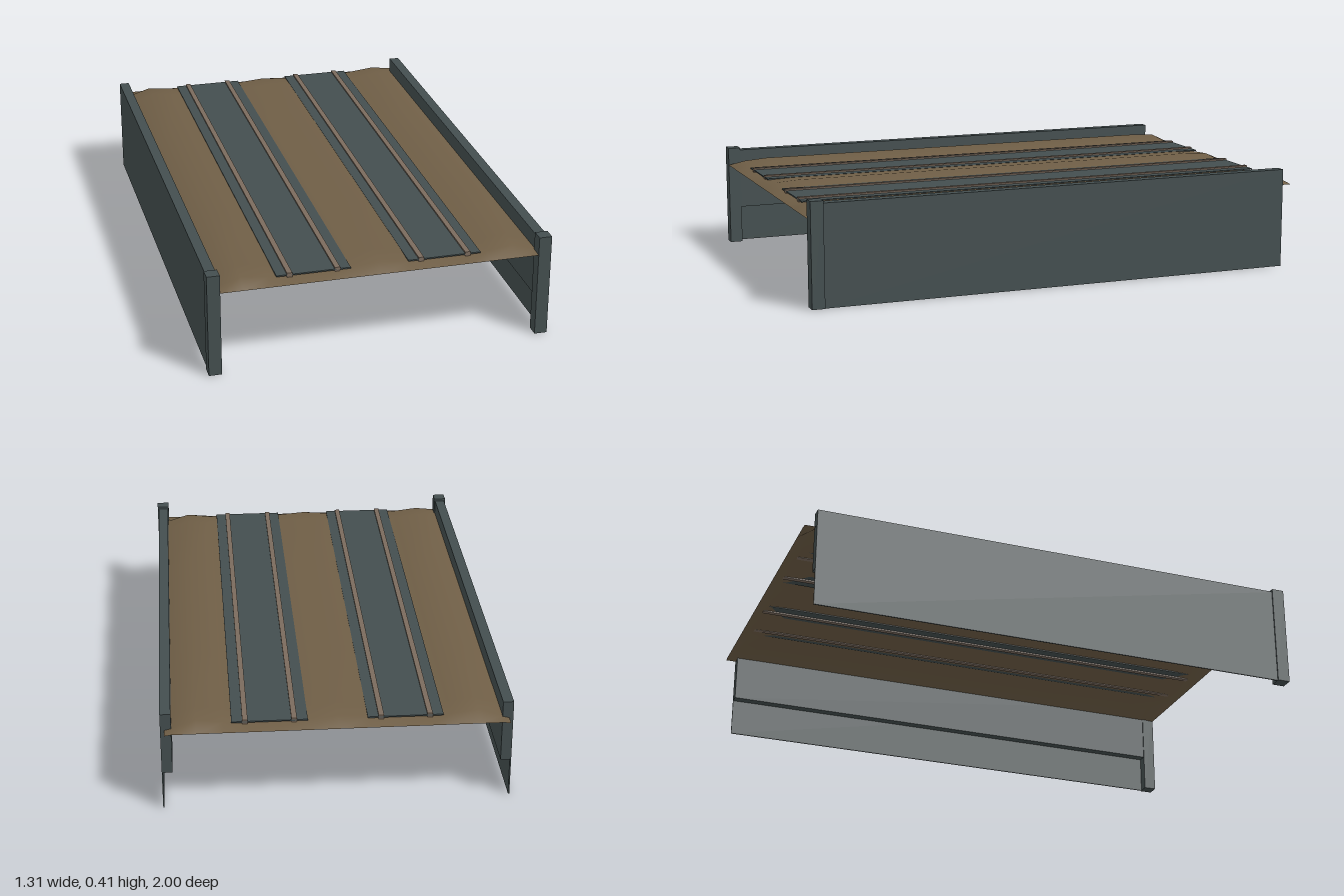
import * as THREE from 'three';

const material = (name, color, side = THREE.FrontSide) => {
  const m = new THREE.MeshStandardMaterial({ color, side });
  m.name = name;
  return m;
};

// Linear interpolation through [position, value] pairs
function sample(points, t) {
  for (let i = 1; i < points.length; i++) {
    const [a, u] = points[i - 1], [b, v] = points[i];
    if (t <= b) return u + (v - u) * (t - a) / (b - a);
  }
  return points[points.length - 1][1];
}

export function createModel() {
  const steel = material('dark steel', 0x434e4f);
  const earth = material('brown earth', 0x6f5e46, THREE.DoubleSide);
  const railMetal = material('rusty rail', 0x7b6b5d);
  const model = new THREE.Group();

  // Box given by its limits on each axis
  function box(name, mat, [x0, x1], [y0, y1], [z0, z1]) {
    const mesh = new THREE.Mesh(new THREE.BoxGeometry(x1 - x0, y1 - y0, z1 - z0), mat);
    mesh.position.set((x0 + x1) / 2, (y0 + y1) / 2, (z0 + z1) / 2);
    mesh.name = name;
    model.add(mesh);
  }

  // Ground sheet: banked shoulders, a low centre ridge, ends sloping down
  const across = [[0, 0.365], [0.12, 0.354], [0.25, 0.349], [0.34, 0.348],
    [0.42, 0.356], [0.52, 0.37], [0.61, 0.336], [0.635, 0.329]];
  const along = [[0, 1], [0.86, 1], [0.95, 0.82], [1, 0]];
  const xs = across.map(p => p[0]);
  const columns = [...xs.slice(1).reverse().map(x => -x), ...xs];
  const rows = [-1, -0.95, -0.86, -0.43, 0, 0.43, 0.86, 0.95, 1];
  const ground = new THREE.PlaneGeometry(1, 1, columns.length - 1, rows.length - 1);
  const pos = ground.attributes.position;
  for (let i = 0; i < pos.count; i++) {
    const x = columns[i % columns.length];
    const z = rows[Math.floor(i / columns.length)];
    const top = sample(across, Math.abs(x));
    const base = Math.min(0.333, top);
    pos.setXYZ(i, x, base + (top - base) * sample(along, Math.abs(z)), z);
  }
  ground.computeVertexNormals();
  const groundMesh = new THREE.Mesh(ground, earth);
  groundMesh.name = 'ground';
  model.add(groundMesh);

  // Two track beds, each with a pair of rails
  for (const cx of [-0.25, 0.25]) {
    box('trackBed', steel, [cx - 0.14, cx + 0.14], [0.351, 0.356], [-0.96, 0.96]);
    for (const s of [-0.09, 0.09]) {
      const x = cx + s;
      box('rail', railMetal, [x - 0.01, x + 0.01], [0.345, 0.362], [-0.96, 0.96]);
    }
  }

  // Side walls: thin outer plate, thick upper girder, end post at the front
  for (const side of [-1, 1]) {
    const span = (a, b) => [side * a, side * b].sort((p, q) => p - q);
    box('wallPlate', steel, span(0.645, 0.65), [0, 0.395], [-0.957, 0.96]);
    box('wallGirder', steel, span(0.61, 0.645), [0.15, 0.395], [-0.957, 0.96]);
    box('endPost', steel, span(0.606, 0.655), [0, 0.405], [0.95, 1]);
  }
  return model;
}
